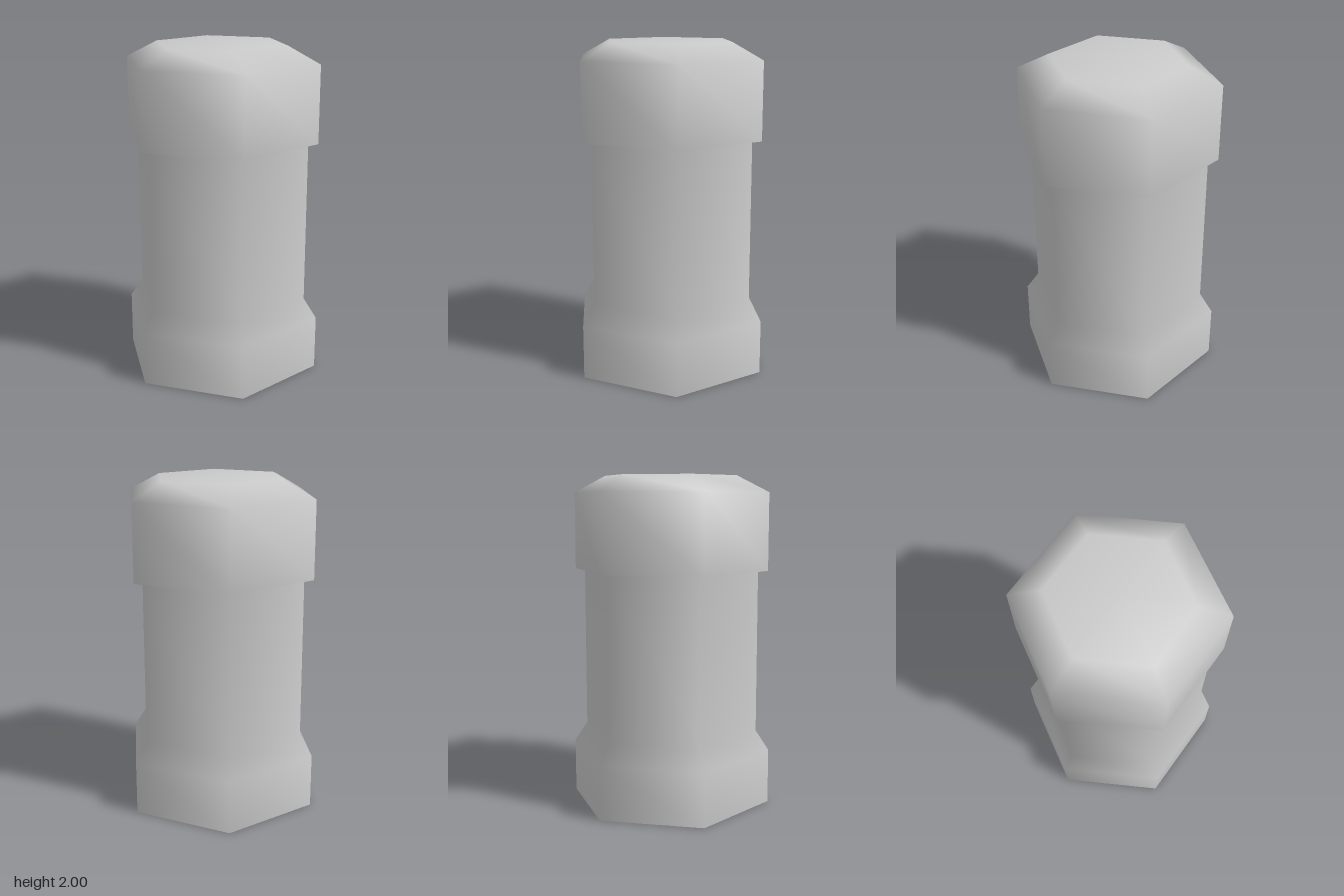
import * as THREE from 'three';

const material = new THREE.MeshStandardMaterial({ color: 0xcccccc });

// Six-sided turned section with smooth normals; corners point along +x and -x.
function hexSection(name, profile) {
  const points = profile.map(([r, y]) => new THREE.Vector2(r, y));
  const mesh = new THREE.Mesh(new THREE.LatheGeometry(points, 6, Math.PI / 2), material);
  mesh.name = name;
  return mesh;
}

export function createModel() {
  const group = new THREE.Group();
  group.name = 'hexagonalPost';

  group.add(
    // Flat underside with a narrow rim
    hexSection('underside', [[0, 0], [0.59, 0], [0.62, 0]]),
    // Wide foot tapering into the straight shaft
    hexSection('footAndShaft', [[0.62, 0], [0.62, 0.33], [0.54, 0.45], [0.54, 1.435]]),
    // Overhanging ledge below the head
    hexSection('headLedge', [[0.54, 1.435], [0.6, 1.435]]),
    // Head with a softly shaded chamfered top
    hexSection('head', [[0.6, 1.435], [0.6, 1.9], [0.405, 2], [0, 2]])
  );
  return group;
}
